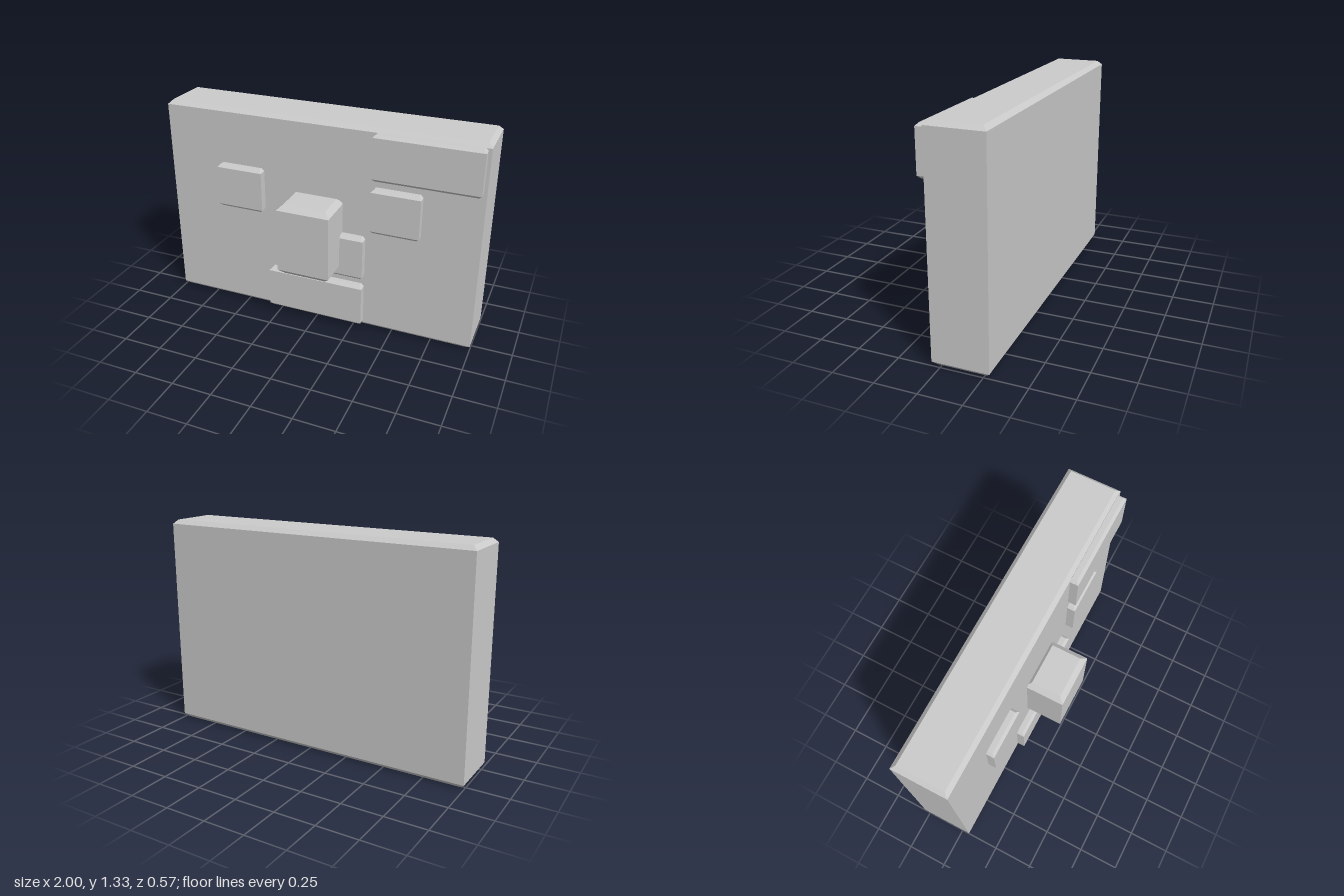
import * as THREE from 'three';

const material = new THREE.MeshStandardMaterial({ color: 0xcccccc, flatShading: true });

// Block given by its extents, with the top and bottom rims chamfered and the upright edges sharp
function chamferedBlock(name, [x0, x1], [y0, y1], [z0, z1], bevel) {
  const w = x1 - x0, h = y1 - y0, d = z1 - z0;
  const box = new THREE.BoxGeometry(w, h, d, 1, 3, 1);
  const pos = box.attributes.position;
  for (let i = 0; i < pos.count; i++) {
    const y = pos.getY(i);
    if (Math.abs(y) > h * 0.4) {
      // end caps shrink inward
      pos.setX(i, pos.getX(i) * (1 - 2 * bevel / w));
      pos.setZ(i, pos.getZ(i) * (1 - 2 * bevel / d));
    } else {
      // middle rows slide out to the start of the chamfer
      pos.setY(i, Math.sign(y) * (h / 2 - bevel));
    }
  }
  const geometry = box.toNonIndexed();
  geometry.computeVertexNormals();
  const mesh = new THREE.Mesh(geometry, material);
  mesh.name = name;
  mesh.position.set((x0 + x1) / 2, (y0 + y1) / 2, (z0 + z1) / 2);
  return mesh;
}

export function createModel() {
  const model = new THREE.Group();
  model.name = 'facePanel';

  // Main slab
  model.add(chamferedBlock('slab', [-1, 1], [0, 1.333], [-0.283, 0.05], 0.025));

  // Projecting nose block
  model.add(chamferedBlock('nose', [-0.165, 0.165], [0.4, 0.867], [0.033, 0.283], 0.033));

  // Thin raised plates: name, x range, bottom edge
  const plateHeight = 0.283;
  const plates = [
    ['rightEye', [-0.65, -0.35], 0.695],
    ['leftEye', [0.35, 0.65], 0.695],
    ['browPlate', [0.35, 0.98], 1.028],
    ['cheekPlate', [0.015, 0.313], 0.361],
    ['mouth', [-0.315, 0.313], 0.028],
  ];
  for (const [name, xs, y] of plates) {
    model.add(chamferedBlock(name, xs, [y, y + plateHeight], [0.033, 0.1], 0.017));
  }
  return model;
}
